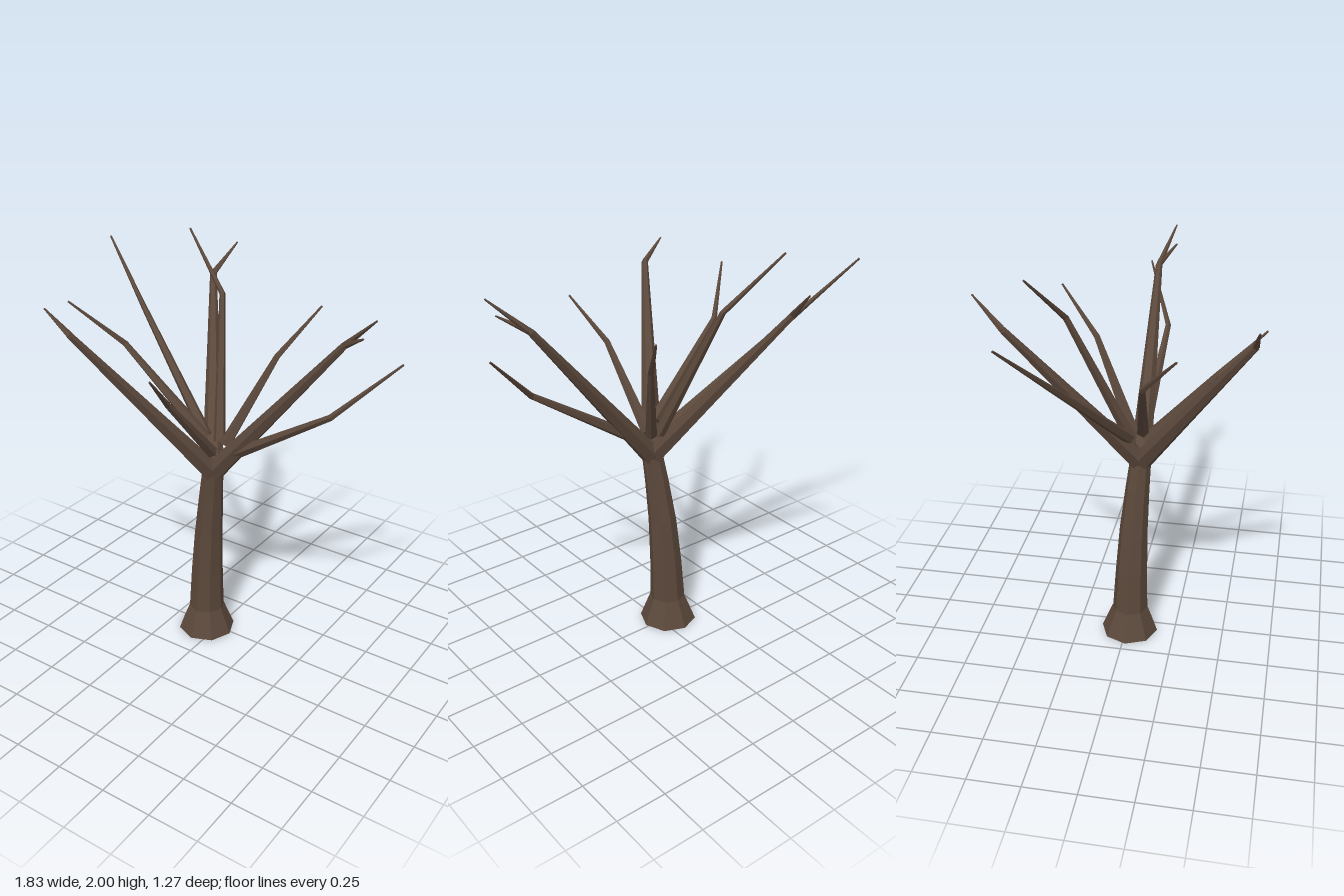
import * as THREE from 'three';

const bark = new THREE.MeshStandardMaterial({ color: 0x5b483b, flatShading: true });
bark.name = 'bark';

// Faceted tapering tube through stations [x, y, z, radius]; level keeps the rings horizontal
function sweep(name, stations, sides, level = false) {
  const pts = stations.map(s => new THREE.Vector3(s[0], s[1], s[2]));
  const pos = [], idx = [];
  const last = pts.length - 1;
  pts.forEach((p, i) => {
    const dir = level ? new THREE.Vector3(0, 1, 0)
      : pts[Math.min(i + 1, last)].clone().sub(pts[Math.max(i - 1, 0)]).normalize();
    const turn = new THREE.Quaternion().setFromUnitVectors(new THREE.Vector3(0, 1, 0), dir);
    for (let k = 0; k < sides; k++) {
      const a = k / sides * Math.PI * 2;
      const v = new THREE.Vector3(Math.sin(a), 0, Math.cos(a)).multiplyScalar(stations[i][3]);
      pos.push(...v.applyQuaternion(turn).add(p).toArray());
    }
  });
  for (let i = 0; i < last; i++) {
    for (let k = 0; k < sides; k++) {
      const a = i * sides + k, b = i * sides + (k + 1) % sides;
      idx.push(a, b, b + sides, a, b + sides, a + sides);
    }
  }
  // End caps
  const top = last * sides;
  for (let k = 1; k < sides - 1; k++) {
    idx.push(0, k + 1, k, top, top + k, top + k + 1);
  }
  const geo = new THREE.BufferGeometry();
  geo.setAttribute('position', new THREE.Float32BufferAttribute(pos, 3));
  geo.setIndex(idx);
  const flat = geo.toNonIndexed();
  flat.computeVertexNormals();
  const mesh = new THREE.Mesh(flat, bark);
  mesh.name = name;
  return mesh;
}

export function createModel() {
  const tree = new THREE.Group();
  tree.name = 'bareTree';

  // Leaning trunk with a flared foot
  tree.add(sweep('trunk', [
    [-0.06, 0, 0.015, 0.145],
    [-0.058, 0.14, 0.017, 0.09],
    [-0.05, 0.36, 0.022, 0.081],
    [-0.034, 0.6, 0.03, 0.071],
    [-0.01, 0.82, 0.044, 0.06],
    [0.008, 0.96, 0.055, 0.053],
  ], 8, true));

  // Three thick limbs spreading from the fork: end point, then twig tips
  const fork = [0.01, 0.96, 0.055];
  const limbs = [
    ['leftLimb', [0.67, 1.75, 0.035], [[0.84, 1.91, 0.1], [0.79, 1.825, 0.11]]],
    ['backLimb', [-0.36, 1.75, -0.49], [[-0.31, 1.885, -0.635]]],
    ['frontLimb', [-0.36, 1.75, 0.6], [[-0.48, 1.855, 0.62]]],
  ];
  for (const [name, end, tips] of limbs) {
    const mid = fork.map((v, i) => v + (end[i] - v) * 0.42);
    tree.add(sweep(name, [[...fork, 0.054], [...mid, 0.038], [...end, 0.017]], 6));
    for (const tip of tips) {
      tree.add(sweep(name + 'Twig', [[...end, 0.016], [...tip, 0.004]], 5));
    }
  }

  // Slender branches: root, elbow, tip
  const branches = [
    ['longRightBranch', [-0.06, 1.12, 0.01], [-0.6, 1.6, -0.22], [-0.915, 1.885, -0.36]],
    ['tallBackBranch', [0.01, 1.1, 0.0], [-0.15, 1.745, -0.26], [-0.415, 1.997, -0.37]],
    ['rightBranch', [-0.02, 1.14, 0.07], [-0.44, 1.55, 0.135], [-0.63, 1.77, 0.305]],
    ['frontBranch', [0.02, 1.08, 0.08], [0.015, 1.45, 0.415], [0.09, 1.65, 0.63]],
    ['backLeftBranch', [0.05, 1.1, 0.01], [0.205, 1.52, -0.195], [0.325, 1.735, -0.39]],
    ['lowLeftBranch', [0.14, 1.1, 0.06], [0.65, 1.43, 0.09], [0.91, 1.69, -0.04]],
  ];
  for (const [name, root, elbow, tip] of branches) {
    tree.add(sweep(name, [[...root, 0.03], [...elbow, 0.015], [...tip, 0.005]], 5));
  }
  return tree;
}
